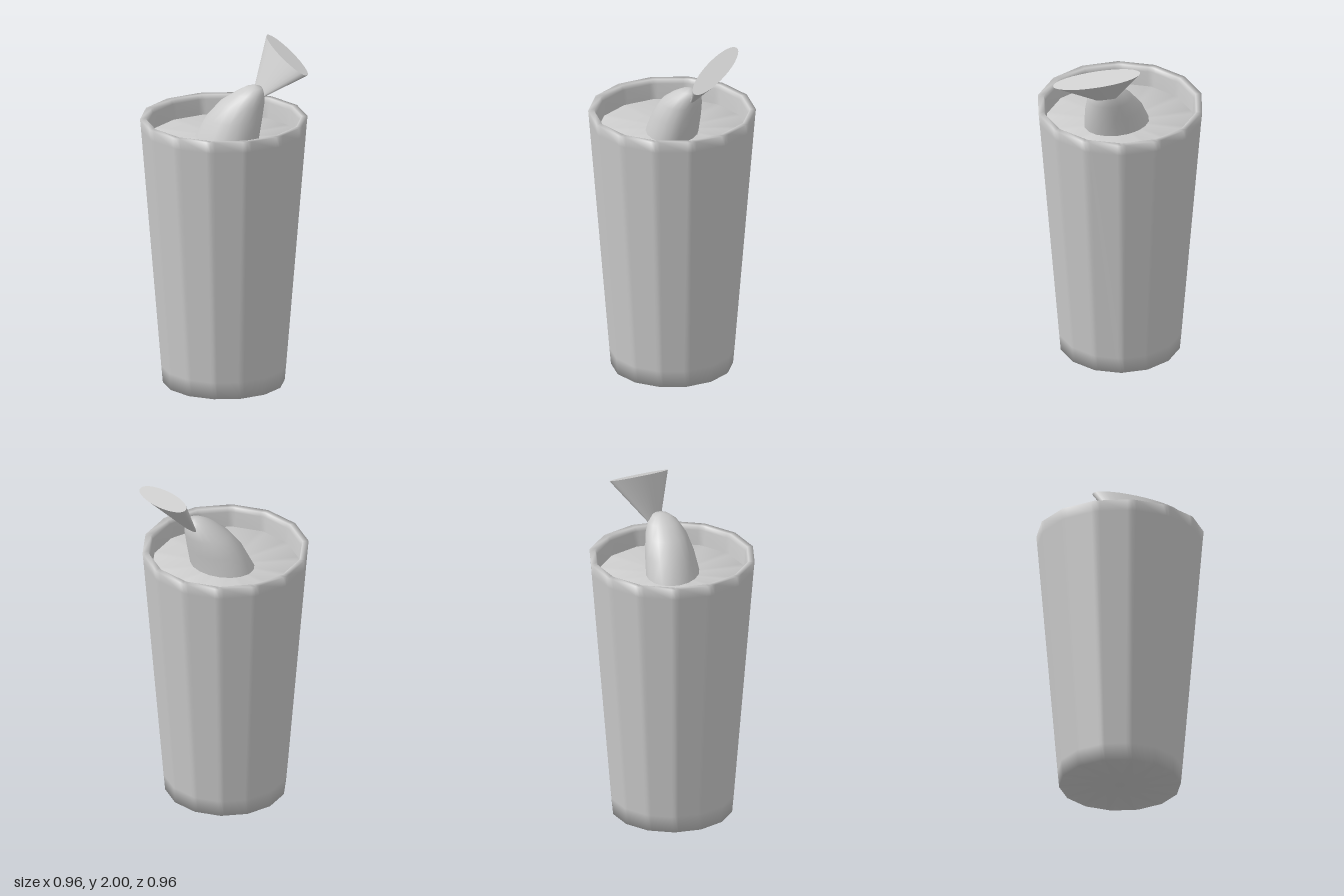
import * as THREE from 'three';
import { mergeVertices } from 'three/addons/utils/BufferGeometryUtils.js';

const SIDES = 14, CENTRE_X = -0.012;

function makeMesh(name, geometry) {
  const mesh = new THREE.Mesh(geometry, new THREE.MeshStandardMaterial({ color: 0xcccccc, side: THREE.DoubleSide }));
  mesh.name = name;
  return mesh;
}

// Joins matching vertices so the normals run smoothly over the seam
function smooth(geometry) {
  geometry.deleteAttribute('normal');
  geometry.deleteAttribute('uv');
  const merged = mergeVertices(geometry, 1e-4);
  merged.computeVertexNormals();
  return merged;
}

// Turns a profile into a 14-sided body; extra points beside each corner keep the panels flat
function panelled(profile) {
  const geo = new THREE.LatheGeometry(profile.map(([r, y]) => new THREE.Vector2(r, y)), SIDES * 3);
  const pos = geo.attributes.position, step = Math.PI * 2 / SIDES, n = profile.length;
  for (let i = 0; i < pos.count; i++) {
    const column = Math.floor(i / n) % (SIDES * 3), [r, y] = profile[i % n];
    const offset = [0, 0.12, 0.88][column % 3] * step;
    const angle = Math.floor(column / 3) * step + offset;
    const radius = r * Math.cos(step / 2) / Math.cos(offset - step / 2);
    pos.setXYZ(i, Math.sin(angle) * radius, y, Math.cos(angle) * radius);
  }
  return smooth(geo);
}

// Skins a stack of horizontal ellipses: [y, centre x, centre z, radius x, radius z]
function loft(rings, segments) {
  const points = [], index = [], row = segments + 1;
  for (const [y, cx, cz, rx, rz] of rings)
    for (let j = 0; j <= segments; j++) {
      const a = (j % segments) / segments * Math.PI * 2;
      points.push(cx + rx * Math.sin(a), y, cz + rz * Math.cos(a));
    }
  for (let i = 0; i < rings.length - 1; i++)
    for (let j = 0; j < segments; j++) {
      const a = i * row + j, b = a + row;
      index.push(a, a + 1, b + 1, a, b + 1, b);
    }
  const geo = new THREE.BufferGeometry();
  geo.setAttribute('position', new THREE.Float32BufferAttribute(points, 3));
  geo.setIndex(index);
  return smooth(geo);
}

export function createModel() {
  const model = new THREE.Group();
  model.name = 'cupWithFinnedLump';

  // Tapered cup: floor, outer wall, rim and inner wall
  const cup = makeMesh('cup', panelled([
    [0, 0], [0.35, 0], [0.359, 0.1], [0.475, 1.52], [0.481, 1.585],
    [0.447, 1.585], [0.438, 1.56], [0.425, 1.44],
  ]));
  cup.position.x = CENTRE_X;

  // Flat filling just below the rim
  const fill = makeMesh('filling', panelled([[0.415, 1.38], [0.427, 1.47], [0, 1.47]]));
  fill.position.x = CENTRE_X;

  // Rounded lump leaning towards the back left
  const lump = makeMesh('lump', loft([
    [1.4, -0.01, 0.01, 0.2, 0.165],
    [1.47, 0.01, 0, 0.195, 0.152],
    [1.585, 0.041, -0.025, 0.171, 0.14],
    [1.68, 0.08, -0.052, 0.132, 0.118],
    [1.74, 0.118, -0.077, 0.086, 0.086],
    [1.77, 0.132, -0.09, 0.05, 0.05],
    [1.782, 0.135, -0.095, 0, 0],
  ], 18));

  // Flattened cone flaring out of the lump: a unit cone sheared onto its mouth axes
  const apex = new THREE.Vector3(0.105, 1.665, -0.1);
  const mouth = new THREE.Vector3(0.262, 1.947, -0.243);
  const long = new THREE.Vector3(0.217, -0.05, 0.125);
  const short = new THREE.Vector3(-0.03, 0.02, 0.052);
  const axis = mouth.clone().sub(apex);
  const coneGeo = new THREE.CylinderGeometry(1, 0, 1, 32);
  coneGeo.translate(0, 0.5, 0);
  coneGeo.applyMatrix4(new THREE.Matrix4().makeBasis(long, axis, short).setPosition(apex));
  const tail = makeMesh('flaredTail', coneGeo);

  model.add(cup, fill, lump, tail);
  return model;
}
